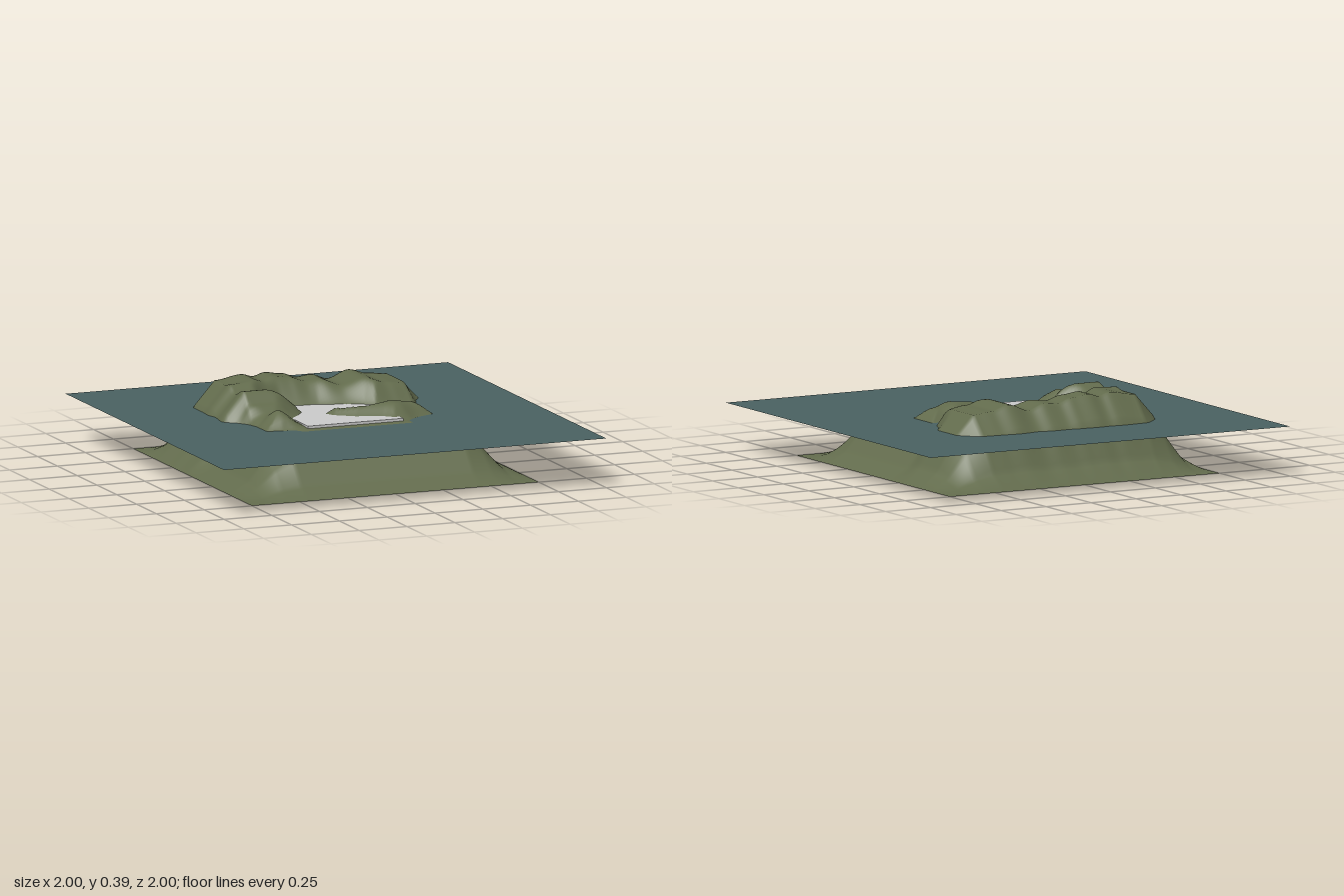
import * as THREE from 'three';

const smooth = (a, b, v) => THREE.MathUtils.smoothstep(v, a, b);
const lerp = THREE.MathUtils.lerp;

// Eased lookup through [position, value] pairs
function lookup(points, v) {
  if (v <= points[0][0]) return points[0][1];
  for (let i = 1; i < points.length; i++) {
    const [a, ya] = points[i - 1], [b, yb] = points[i];
    if (v <= b) return lerp(ya, yb, smooth(a, b, v));
  }
  return points[points.length - 1][1];
}

// Distance to an outline in plan, positive inside
function insideDistance(poly, x, z) {
  let best = Infinity, inside = false;
  for (let i = 0, j = poly.length - 1; i < poly.length; j = i++) {
    const [ax, az] = poly[j], [bx, bz] = poly[i];
    const ex = bx - ax, ez = bz - az;
    const t = THREE.MathUtils.clamp(((x - ax) * ex + (z - az) * ez) / (ex * ex + ez * ez), 0, 1);
    best = Math.min(best, Math.hypot(x - ax - t * ex, z - az - t * ez));
    if ((az > z) !== (bz > z) && x < ax + (z - az) / ez * ex) inside = !inside;
  }
  return inside ? best : -best;
}

// Plan outlines (x, z) of the C-shaped ridge and the low arm
const ridge = [
  [-0.9, -0.9], [0.9, -0.9], [0.9, -0.2], [0.53, -0.17], [0.48, -0.11], [0.38, -0.1], [0.25, -0.1],
  [0.2, -0.14], [0.1, -0.18], [0, -0.22], [-0.18, -0.24], [-0.24, -0.21], [-0.24, -0.16],
  [-0.15, -0.08], [-0.2, 0], [-0.22, 0.04], [-0.25, 0.1], [-0.26, 0.27], [-0.38, 0.26],
  [-0.46, 0.22], [-0.46, 0.1], [-0.52, 0.03], [-0.9, 0],
];
const arm = [
  [0.46, -0.06], [0.46, 0.13], [0.3, 0.2], [0.22, 0.21], [0.18, 0.17], [0.05, 0.12], [-0.04, 0.05],
  [-0.06, 0], [-0.02, -0.04], [0.04, 0], [0.1, 0.02], [0.15, 0.02], [0.22, -0.02], [0.27, -0.05],
];

// Crest heights along the back (by x) and along the side (by z)
const backCrest = [
  [-0.45, 0.37], [-0.31, 0.39], [-0.25, 0.375], [-0.19, 0.39], [-0.1, 0.378], [-0.02, 0.355],
  [0.05, 0.362], [0.14, 0.335], [0.25, 0.37], [0.35, 0.345], [0.45, 0.335],
];
const sideCrest = [
  [-0.28, 0.39], [-0.19, 0.35], [-0.09, 0.382], [-0.02, 0.325], [0.04, 0.29],
  [0.13, 0.325], [0.19, 0.31], [0.25, 0.26],
];

// Fall-off from the plateau to the square foot of the island
function edgeFall(v) {
  const table = [0, 0.22, 0.7, 1, 1];
  const s = THREE.MathUtils.clamp((0.75 - Math.abs(v)) / 0.1, 0, 3);
  const i = Math.floor(s);
  return lerp(table[i], table[i + 1], s - i);
}

function groundHeight(x, z) {
  const out = Math.max(Math.abs(x), Math.abs(z)) - 0.25;
  const floor = lerp(0.247, 0.23, smooth(0, 0.12, out));
  const side = (1 - smooth(-0.25, -0.1, x)) * smooth(-0.34, -0.22, z);
  const crest = lerp(lookup(backCrest, x), lookup(sideCrest, z), side);
  const ridgeRise = (crest - floor) * smooth(-0.03, 0.11, insideDistance(ridge, x, z));
  const armRise = 0.065 * smooth(-0.03, 0.09, insideDistance(arm, x, z));
  return (floor + Math.max(ridgeRise, armRise)) * edgeFall(x) * edgeFall(z);
}

export function createModel() {
  const model = new THREE.Group();
  const add = (name, geometry, color, y = 0) => {
    const mesh = new THREE.Mesh(geometry, new THREE.MeshStandardMaterial({ color, side: THREE.DoubleSide }));
    mesh.name = name;
    mesh.position.y = y;
    model.add(mesh);
  };

  // Island terrain, open underneath
  const land = new THREE.PlaneGeometry(1.5, 1.5, 120, 120).rotateX(-Math.PI / 2);
  const p = land.attributes.position;
  for (let i = 0; i < p.count; i++) p.setY(i, groundHeight(p.getX(i), p.getZ(i)));
  land.computeVertexNormals();
  add('terrain', land, 0x636c4d);

  // Sea surface
  add('water', new THREE.PlaneGeometry(2, 2).rotateX(-Math.PI / 2), 0x4a6262, 0.243);

  // Flat paved slab in the shelter of the ridge
  add('slab', new THREE.BoxGeometry(0.5, 0.02, 0.5), 0xcccccc, 0.25);

  return model;
}
